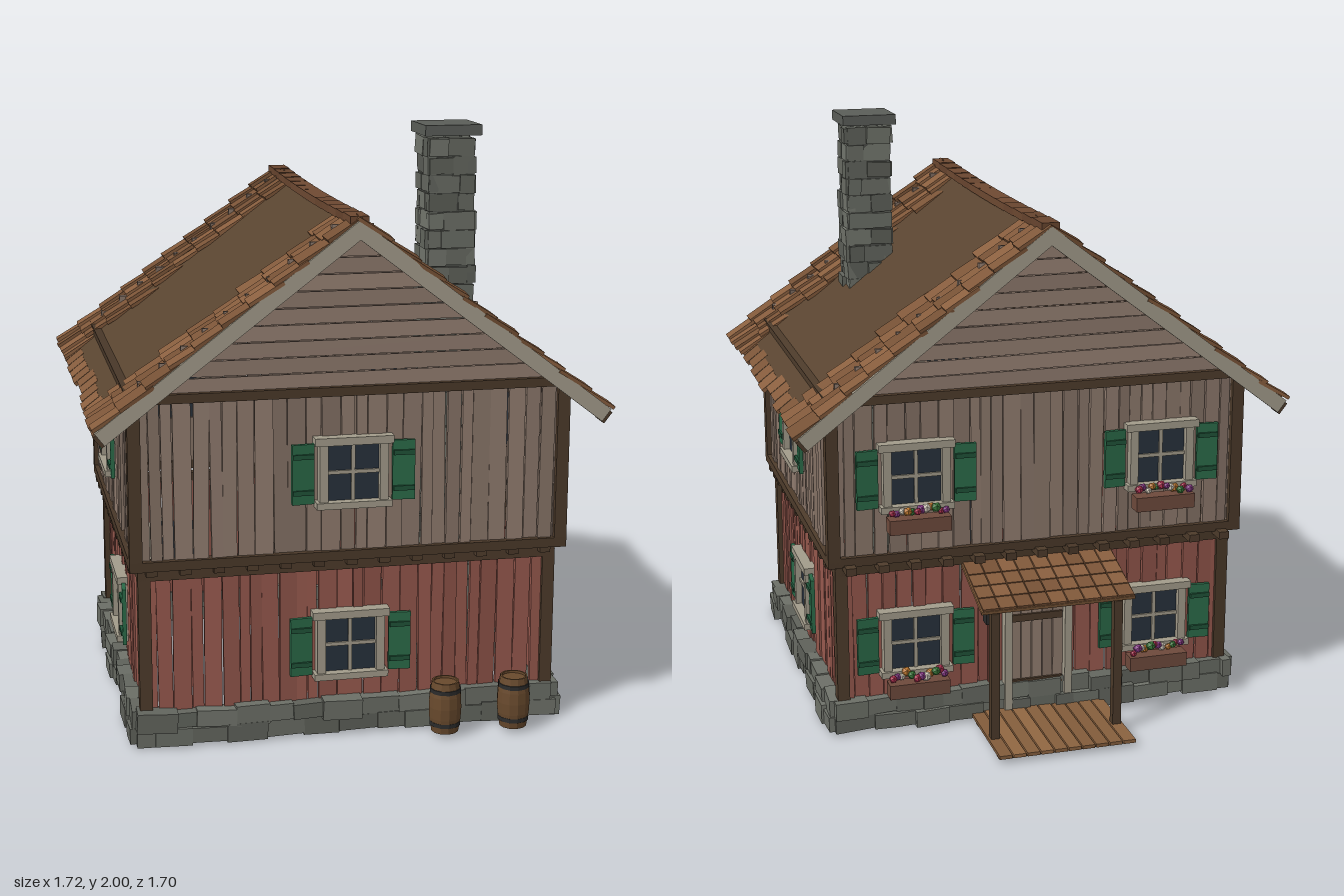
import * as THREE from 'three';

const C = {
  red: 0x94574c, grey: 0x8c786b, beam: 0x4c3a2a, trim: 0xa39c8b, green: 0x2a6a48, glass: 0x27313c,
  stone: 0x686b63, shingle: 0x80583a, slab: 0x594430, ridge: 0x6b4730, wood: 0x8a623f, barrel: 0x694a2d,
  iron: 0x2b2b2b, box: 0x6e4a3c,
};
const CZ = 0.115; // middle of the house in z

let seed = 7;
const rnd = (a = 0, b = 1) => {
  seed = (seed * 16807) % 2147483647;
  return a + (b - a) * (seed / 2147483647);
};
const cube = new THREE.BoxGeometry(1, 1, 1);
const mats = new Map();
// Material in one of a few shades of a colour
function mat(color, vary = 0) {
  const step = vary ? Math.floor(rnd(-2, 3)) : 0;
  const key = color + ':' + step * vary;
  if (!mats.has(key)) {
    const m = new THREE.MeshStandardMaterial({ color, flatShading: true, roughness: 0.9 });
    m.color.multiplyScalar(1 + step * vary);
    mats.set(key, m);
  }
  return mats.get(key);
}
function box(parent, name, color, size, pos, vary = 0, rot = [0, 0, 0]) {
  const m = new THREE.Mesh(cube, mat(color, vary));
  m.name = name;
  m.scale.set(...size);
  m.position.set(...pos);
  m.rotation.set(...rot);
  parent.add(m);
  return m;
}
function group(parent, name, pos = [0, 0, 0], ry = 0) {
  const g = new THREE.Group();
  g.name = name;
  g.position.set(...pos);
  g.rotation.y = ry;
  parent.add(g);
  return g;
}

// Window with frame, muntins and shutters; local z points outwards
function addWindow(wall, x, y, z, flowers) {
  const g = group(wall, 'window', [x, y, z]);
  box(g, 'glass', C.glass, [0.19, 0.2, 0.02], [0, 0, 0]);
  for (const s of [-1, 1]) {
    box(g, 'frameSide', C.trim, [0.028, 0.21, 0.04], [s * 0.1, 0, 0.012]);
    box(g, 'shutter', C.green, [0.074, 0.2, 0.014], [s * 0.167, 0, 0.018], 0, [0, s * -0.08, 0]);
    for (const h of [-0.06, 0.06]) box(g, 'shutterBatten', 0x1f5338, [0.07, 0.016, 0.01], [s * 0.167, h, 0.028]);
  }
  box(g, 'lintel', C.trim, [0.26, 0.026, 0.046], [0, 0.107, 0.014]);
  box(g, 'sill', C.trim, [0.25, 0.022, 0.05], [0, -0.106, 0.016]);
  box(g, 'muntin', C.trim, [0.012, 0.2, 0.026], [0, 0, 0.004]);
  box(g, 'muntin', C.trim, [0.18, 0.012, 0.026], [0, 0, 0.004]);
  if (!flowers) return;
  box(g, 'flowerBox', C.box, [0.21, 0.05, 0.055], [0, -0.155, 0.05]);
  const petals = [0xb03050, 0x8a3a8a, 0xd8d0c0, 0xc07a30, 0x3a7a3a];
  for (let i = 0; i < 12; i++) {
    const f = new THREE.Mesh(new THREE.IcosahedronGeometry(rnd(0.012, 0.018), 0), mat(petals[i % 5]));
    f.name = 'flower';
    f.position.set(-0.09 + i * 0.0165, -0.118 + rnd(0, 0.02), 0.05 + rnd(-0.015, 0.015));
    g.add(f);
  }
}

// Loose vertical planks, left open behind each hole {x, w, lo, hi}
function addPlanks(wall, color, half, z, y0, y1, holes) {
  let x = -half;
  while (x < half - 0.01) {
    const w = Math.min(rnd(0.032, 0.062), half - x), cx = x + w / 2;
    const hole = holes.find(h => Math.abs(cx - h.x) < h.w);
    const spans = hole ? [[y0, hole.lo], [hole.hi, y1]] : [[y0, y1]];
    for (const [a, b] of spans) {
      if (b - a < 0.01) continue;
      box(wall, 'plank', color, [w, b - a, 0.016], [cx, (a + b) / 2, z + rnd(-0.006, 0.006)], 0.05,
        [0, rnd(-0.05, 0.05), rnd(-0.012, 0.012)]);
    }
    x += w + rnd(0.0005, 0.006);
  }
}

// One storey: four walls with corner posts and beams
function addStorey(root, s) {
  const storey = group(root, s.name, [0, 0, CZ]);
  ['front', 'right', 'back', 'left'].forEach((side, i) => {
    const wall = group(storey, side + 'Wall', [0, 0, 0], i * Math.PI / 2);
    const half = i % 2 ? s.hz : s.hx, dist = i % 2 ? s.hx : s.hz;
    const xs = side === 'back' ? [-0.43, 0.43] : [0];
    const holes = xs.map(x => ({ x, w: 0.1, lo: s.win - 0.1, hi: s.win + 0.1 }));
    if (side === 'back' && s.door) holes.push({ x: 0, w: 0.1, lo: 0.03, hi: 0.45 });
    addPlanks(wall, s.color, half - 0.02, dist - 0.022, s.y0, s.y1, holes);
    xs.forEach(x => addWindow(wall, x, s.win, dist - 0.012, side === 'back'));
    s.beams.forEach(([y, h]) => box(wall, 'beam', C.beam, [half * 2, h, 0.04], [0, y, dist - 0.017], 0.04));
    box(wall, 'cornerPost', C.beam, [0.042, s.y1 - s.post, 0.042], [half - 0.018, (s.y1 + s.post) / 2, dist - 0.018], 0.04);
  });
  return storey;
}

function addFoundation(root) {
  const base = group(root, 'foundation', [0, 0, CZ]);
  for (let i = 0; i < 4; i++) {
    const side = group(base, 'stoneCourse', [0, 0, 0], i * Math.PI / 2);
    const half = i % 2 ? 0.6 : 0.715, dist = i % 2 ? 0.7 : 0.59;
    for (const y of [0.04, 0.095]) {
      let x = -half;
      while (x < half - 0.02) {
        const w = Math.min(rnd(0.06, 0.14), half - x);
        box(side, 'stone', C.stone, [w * 1.02, rnd(0.05, 0.07), rnd(0.05, 0.075)], [x + w / 2, y, dist + rnd(-0.01, 0.01)], 0.09,
          [rnd(-0.05, 0.05), rnd(-0.06, 0.06), rnd(-0.05, 0.05)]);
        x += w;
      }
    }
  }
}

// Joist ends between the storeys
function addJoists(root) {
  const joists = group(root, 'joists', [0, 0, CZ]);
  for (let i = 0; i < 4; i++) {
    const side = group(joists, 'joistRow', [0, 0, 0], i * Math.PI / 2);
    const half = i % 2 ? 0.55 : 0.66, dist = i % 2 ? 0.68 : 0.575, out = i === 2 ? 0.07 : 0.03;
    for (let k = 0; k < 13; k++)
      box(side, 'joist', C.beam, [0.036, 0.026, 0.04 + out], [-half + k * half / 6, 0.61, dist + out / 2], 0.05);
  }
}

function addRoof(root) {
  const roof = group(root, 'roof', [0, 0, 0.105]);
  const len = 1.045, pitch = Math.atan2(0.635, 0.83);
  for (const turn of [0, Math.PI]) {
    const slope = group(group(roof, 'roofSide', [0, 0, 0], turn), 'slope', [0, 1.735, 0]);
    slope.rotation.z = -pitch; // local x runs down the slope, y is its normal
    box(slope, 'roofDeck', C.slab, [len, 0.025, 1.43], [len / 2, -0.0125, 0]);
    for (const e of [-1, 1]) {
      box(slope, 'bargeBoard', C.trim, [len + 0.01, 0.05, 0.018], [len / 2, -0.016, e * 0.722]);
      box(slope, 'bargeEnd', C.beam, [0.025, 0.045, 0.03], [len + 0.005, -0.02, e * 0.71]);
      // Shingles dip below the deck away from the gable ends
      for (let r = 0; r < 10; r++) {
        let d = rnd(-0.015, 0.0);
        while (d < 0.24) {
          const w = rnd(0.06, 0.1);
          box(slope, 'shingle', C.shingle, [0.13, 0.012, w - 0.004],
            [0.055 + r * 0.104 + rnd(-0.008, 0.008), 0.016 - (d + w / 2) * 0.06, e * (0.722 - d - w / 2)], 0.09,
            [e * 0.06 + rnd(-0.04, 0.04), rnd(-0.04, 0.04), 0.1 + rnd(-0.02, 0.02)]);
          d += w;
        }
      }
    }
    // Eave course along the lower edge
    for (let z = -0.68; z < 0.68; z += 0.095)
      box(slope, 'eaveShingle', C.shingle, [0.07, 0.014, 0.085], [len - 0.025 + rnd(-0.01, 0.01), -0.006, z], 0.09);
  }
  // Sagging ridge cap
  for (let k = 0; k < 13; k++) {
    const z = -0.66 + k * 0.11;
    box(roof, 'ridgeCap', C.ridge, [0.06, 0.026, 0.112], [0, 1.732 + 0.025 * z * z, z], 0.04);
  }
  // Horizontal slats closing the gables
  for (const e of [-1, 1]) {
    for (let k = 0; k < 10; k++) {
      const y = 1.19 + k * 0.053, half = (1.738 - y) / 0.765 - 0.025;
      box(roof, 'gableSlat', C.grey, [half * 2, 0.049, 0.018], [0, y + 0.026, 0.01 + e * 0.6], 0.04, [e * -0.1, 0, rnd(-0.003, 0.003)]);
    }
  }
}

function addChimney(root) {
  const g = group(root, 'chimney', [0.39, 0, 0.395]);
  box(g, 'core', 0x4a4c47, [0.15, 1.94, 0.15], [0, 0.975, 0]);
  for (let k = 0; k < 32; k++) {
    const y = 0.035 + k * 0.061, r = 0.086 - k * 0.0003;
    for (let i = 0; i < 4; i++) {
      const side = group(g, 'course', [0, y, 0], i * Math.PI / 2), cut = rnd(-0.035, 0.035);
      for (const [a, b] of [[-r, cut], [cut, r]])
        box(side, 'stone', C.stone, [b - a, rnd(0.052, 0.064), 0.03], [(a + b) / 2, 0, r - 0.01 + rnd(-0.006, 0.008)], 0.11,
          [rnd(-0.06, 0.06), rnd(-0.06, 0.06), rnd(-0.05, 0.05)]);
    }
  }
  box(g, 'cap', 0x5b5e59, [0.192, 0.035, 0.192], [0, 1.9825, 0]);
}

function addPorch(root) {
  const g = group(root, 'porch');
  for (let i = 0; i < 10; i++)
    box(g, 'floorPlank', C.wood, [0.043, 0.012, 0.36], [-0.216 + i * 0.048, 0.024, -0.67], 0.06);
  for (const z of [-0.54, -0.8]) box(g, 'floorBearer', C.beam, [0.46, 0.016, 0.03], [0, 0.01, z]);
  const tilt = Math.atan2(0.08, 0.26);
  const top = group(g, 'porchRoof', [0, 0.578, -0.48]);
  top.rotation.x = -tilt;
  box(top, 'porchDeck', C.wood, [0.535, 0.012, 0.27], [0, -0.006, -0.135]);
  for (let r = 0; r < 4; r++)
    for (let k = 0; k < 9; k++)
      box(top, 'porchShingle', C.shingle, [0.055, 0.008, 0.075], [-0.235 + k * 0.0588, 0.003, -0.04 - r * 0.064], 0.08, [0.06, 0, 0]);
  for (const s of [-1, 1]) {
    box(g, 'porchPost', C.beam, [0.03, 0.48, 0.03], [s * 0.215, 0.26, -0.705]);
    box(g, 'porchRafter', C.beam, [0.022, 0.022, 0.26], [s * 0.215, 0.525, -0.6], 0, [-tilt, 0, 0]);
  }
  box(g, 'porchBeam', C.beam, [0.5, 0.025, 0.03], [0, 0.495, -0.705]);
  // Door
  const door = group(g, 'door', [0, 0, -0.478]);
  for (let i = 0; i < 5; i++) box(door, 'doorPlank', C.grey, [0.035, 0.41, 0.016], [-0.076 + i * 0.038, 0.235, 0], 0.06);
  for (const y of [0.12, 0.36]) box(door, 'doorBatten', C.beam, [0.18, 0.025, 0.01], [0, y, -0.012]);
  for (const s of [-1, 1]) box(door, 'doorJamb', C.trim, [0.026, 0.44, 0.04], [s * 0.108, 0.25, -0.012]);
  box(door, 'doorHead', C.trim, [0.26, 0.028, 0.044], [0, 0.465, -0.012]);
  // Lantern
  const lamp = group(g, 'lantern', [0.19, 0, 0]);
  box(lamp, 'lanternArm', C.iron, [0.01, 0.01, 0.09], [0, 0.48, -0.525]);
  box(lamp, 'lanternRod', C.iron, [0.006, 0.05, 0.006], [0, 0.46, -0.567]);
  box(lamp, 'lanternBody', C.iron, [0.04, 0.05, 0.04], [0, 0.413, -0.567]);
}

function addBarrel(root, x) {
  const g = group(root, 'barrel', [x, 0.015, 0.793]);
  const prof = [[0, 0], [0.046, 0], [0.054, 0.05], [0.056, 0.088], [0.054, 0.126], [0.046, 0.176], [0.04, 0.176], [0.04, 0.168], [0, 0.168]];
  const body = new THREE.Mesh(new THREE.LatheGeometry(prof.map(p => new THREE.Vector2(...p)), 12), mat(C.barrel));
  body.name = 'staves';
  g.add(body);
  for (const [y, r] of [[0.03, 0.053], [0.146, 0.053]]) {
    const hoop = new THREE.Mesh(new THREE.CylinderGeometry(r, r, 0.014, 12), mat(C.iron));
    hoop.name = 'hoop';
    hoop.position.y = y;
    g.add(hoop);
  }
}

export function createModel() {
  seed = 7;
  const root = new THREE.Group();
  root.name = 'house';
  addFoundation(root);
  addStorey(root, { name: 'lowerStorey', color: C.red, hx: 0.7, hz: 0.595, y0: 0.09, y1: 0.6, post: 0.02, win: 0.315, beams: [[0.59, 0.032]], door: true });
  addJoists(root);
  addStorey(root, { name: 'upperStorey', color: C.grey, hx: 0.728, hz: 0.628, y0: 0.625, y1: 1.185, post: 0.615, win: 0.915, beams: [[0.632, 0.032], [1.182, 0.03]] });
  addRoof(root);
  addChimney(root);
  addPorch(root);
  [0.308, 0.545].forEach(x => addBarrel(root, x));
  return root;
}
